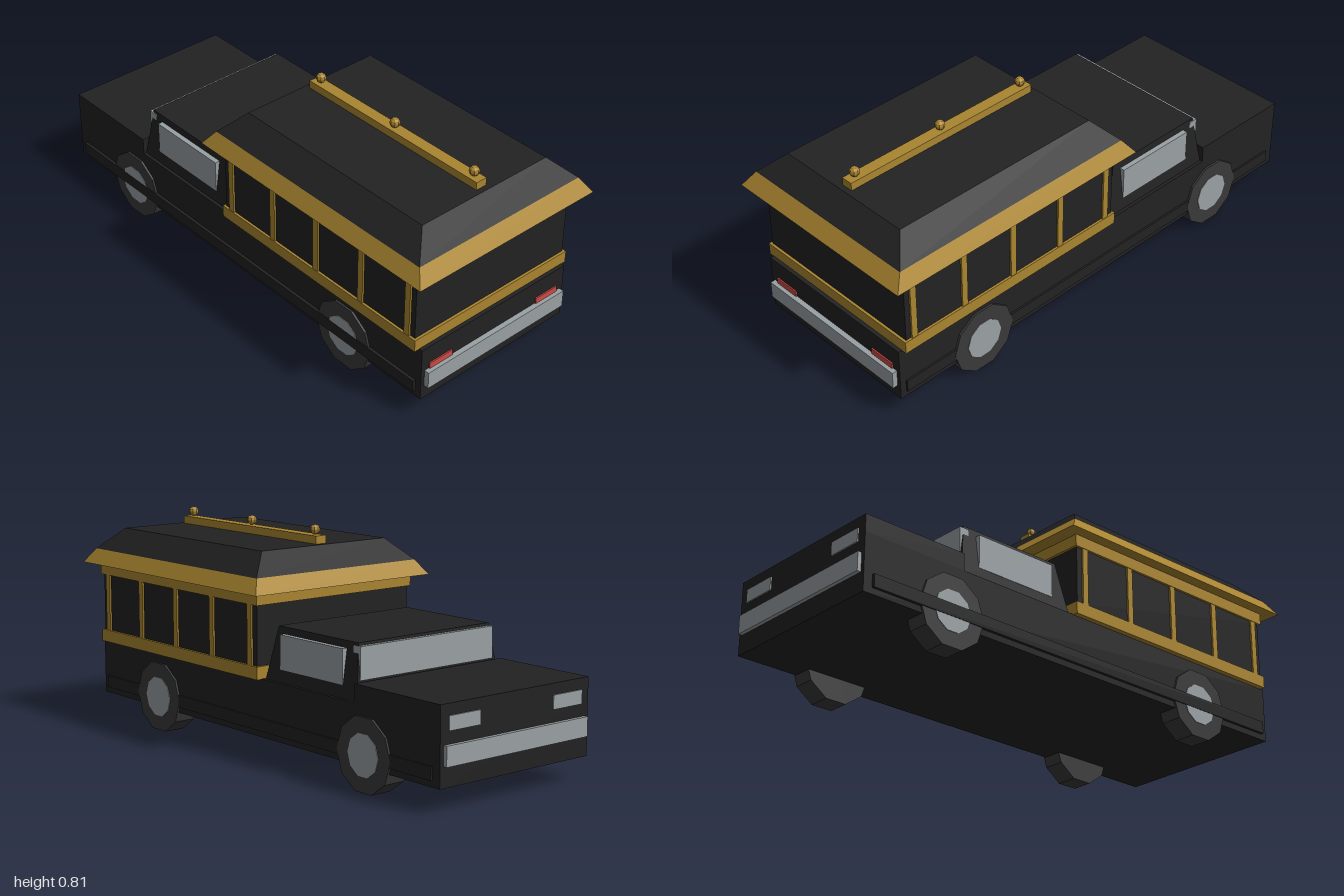
import * as THREE from 'three';

const mat = (name, color) => {
  const m = new THREE.MeshStandardMaterial({ color });
  m.name = name;
  return m;
};

export function createModel() {
  const black = mat('black paint', 0x222222);
  const gold = mat('gold trim', 0xaa8530);
  const silver = mat('silver', 0x9aa1a4);
  const rubber = mat('rubber', 0x393939);
  const red = mat('red lamp', 0xcc4a44);

  const car = new THREE.Group();
  car.name = 'car';

  const add = (name, geometry, material) => {
    const mesh = new THREE.Mesh(geometry, material);
    mesh.name = name;
    car.add(mesh);
    return mesh;
  };

  // Box given by its limits on each axis
  const box = (name, material, [x0, x1], [y0, y1], [z0, z1]) => {
    const g = new THREE.BoxGeometry(x1 - x0, y1 - y0, z1 - z0);
    g.translate((x0 + x1) / 2, (y0 + y1) / 2, (z0 + z1) / 2);
    return add(name, g, material);
  };

  // Tapered block: separate x limits and half width at bottom and top
  const taper = (name, material, [y0, y1], [bx0, bx1, bz], [tx0, tx1, tz]) => {
    const g = new THREE.BoxGeometry(1, 1, 1);
    const p = g.attributes.position;
    for (let i = 0; i < p.count; i++) {
      const top = p.getY(i) > 0;
      const right = p.getX(i) > 0;
      const x = top ? (right ? tx1 : tx0) : (right ? bx1 : bx0);
      p.setXYZ(i, x, top ? y1 : y0, Math.sign(p.getZ(i)) * (top ? tz : bz));
    }
    const flat = g.toNonIndexed();
    flat.computeVertexNormals();
    return add(name, flat, material);
  };

  // Ten-sided disc facing along z
  const disc = (radius, depth) => {
    const g = new THREE.CylinderGeometry(radius, radius, depth, 10);
    g.rotateY(Math.PI / 10).rotateX(Math.PI / 2);
    const flat = g.toNonIndexed();
    flat.computeVertexNormals();
    return flat;
  };

  // Lower body, bonnet and cab
  box('body', black, [-0.985, 0.955], [0.087, 0.3], [-0.345, 0.345]);
  box('bonnet', black, [-0.985, -0.565], [0.3, 0.365], [-0.345, 0.345]);
  taper('cab', black, [0.3, 0.495], [-0.565, -0.07, 0.333], [-0.54, -0.11, 0.305]);
  box('windscreen', silver, [-0.557, -0.52], [0.37, 0.485], [-0.31, 0.31]);

  // Bumpers
  box('frontBumper', silver, [-1, -0.98], [0.16, 0.23], [-0.33, 0.33]);
  box('rearBumper', silver, [0.95, 0.975], [0.14, 0.207], [-0.33, 0.33]);

  for (const s of [1, -1]) {
    const side = (a, b) => (s > 0 ? [a, b] : [-b, -a]);
    box('sideWindow', silver, [-0.485, -0.145], [0.345, 0.47], side(0.29, 0.328));
    box('sideStrip', black, [-0.95, 0.93], [0.11, 0.157], side(0.34, s > 0 ? 0.3565 : 0.352));
    box('headlight', silver, [-0.99, -0.98], [0.275, 0.325], side(0.17, 0.31));
    box('tailLight', red, [0.95, 0.96], [0.19, 0.23], side(0.205, 0.31));

    // Wheels with hubcaps
    for (const x of [-0.62, 0.575]) {
      add('wheel', disc(0.1365, 0.083), rubber).position.set(x, 0.13, s * 0.3115);
      add('hubcap', disc(0.078, 0.01), silver).position.set(x, 0.13, s * 0.35);
    }

    // Posts along the rear cabin
    for (let i = 0; i < 5; i++) {
      const x = -0.013 + i * 0.2272;
      box('post', gold, [x - 0.0125, x + 0.0125], [0.345, 0.565], side(0.35, 0.364));
    }
  }

  // Rear cabin walls between gold bands
  box('cabinWalls', black, [-0.05, 0.93], [0.34, 0.57], [-0.357, 0.357]);
  box('lowerBand', gold, [-0.06, 0.94], [0.298, 0.345], [-0.366, 0.366]);
  box('upperBand', gold, [-0.06, 0.94], [0.565, 0.612], [-0.366, 0.366]);

  // Hipped roof with flared eaves
  taper('eaves', gold, [0.61, 0.665], [-0.115, 0.997, 0.41], [-0.073, 0.955, 0.375]);
  taper('roof', black, [0.665, 0.746], [-0.073, 0.955, 0.375], [0.005, 0.876, 0.29]);

  // Ridge bar with ball finials
  box('ridgeBar', gold, [0.025, 0.855], [0.745, 0.776], [-0.023, 0.023]);
  for (const x of [0.06, 0.44, 0.82]) {
    const ball = new THREE.SphereGeometry(0.019, 8, 6).toNonIndexed();
    ball.computeVertexNormals();
    add('finial', ball, gold).position.set(x, 0.796, 0);
  }

  return car;
}
